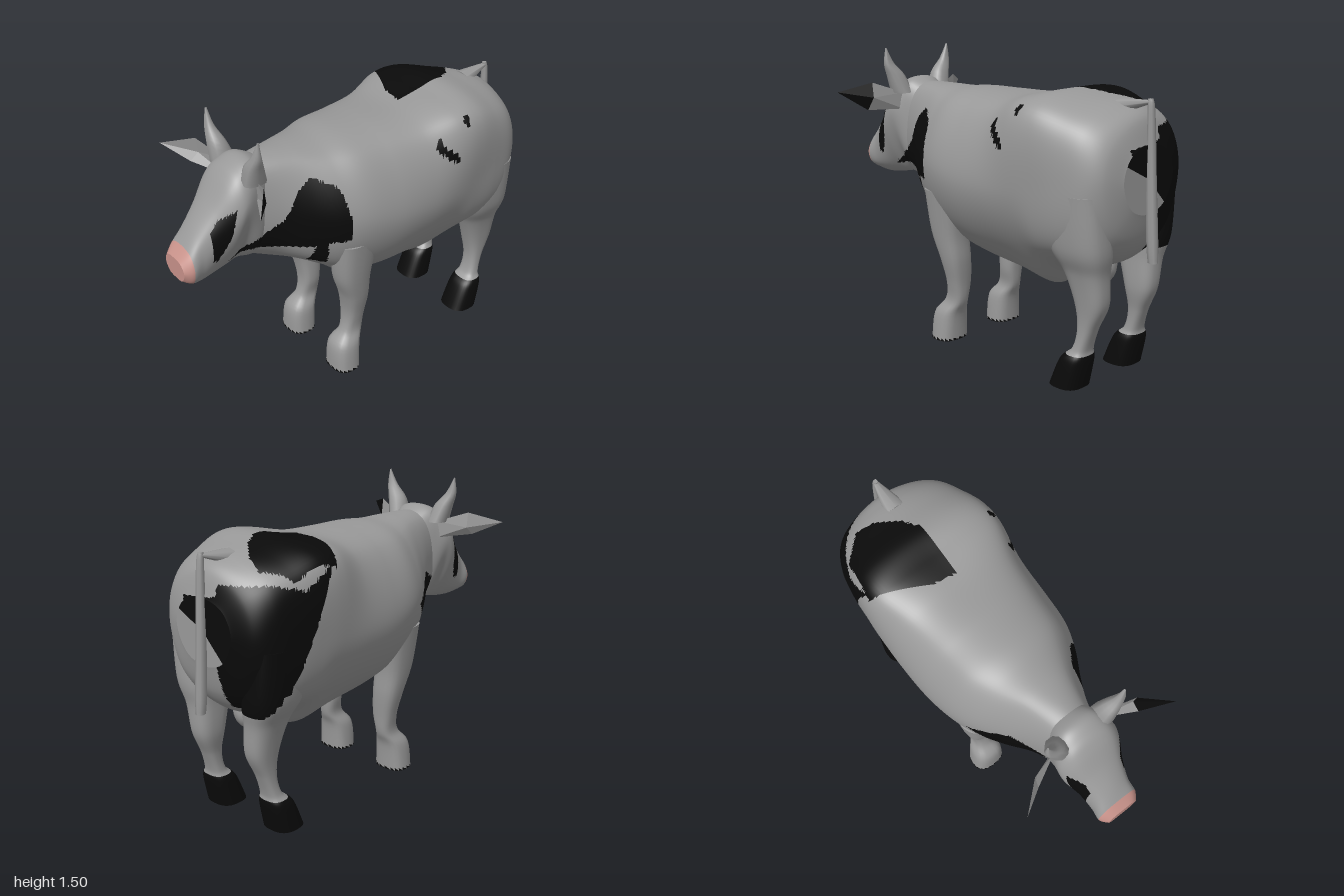
import * as THREE from 'three';

const paintOf = (name, color) => Object.assign(new THREE.MeshStandardMaterial({ color, side: THREE.DoubleSide }), { name });
const coat = paintOf('coat', 0x999999);
const patch = paintOf('black patch', 0x0a0a0a);
const materials = [coat, patch, paintOf('pink muzzle', 0xc8928a)];

// Patch outlines: side ones are (z, y), top ones (x, z), front and rear ones (x, y)
const neckPatch = [[.77, .84], [.6, .95], [.5, 1.02], [.43, 1.15], [.36, 1.21], [.25, 1.15], [.22, .98],
  [.22, .87], [.32, .87], [.3, .72], [.38, .74], [.37, .85], [.5, .86], [.62, .87]];
const eyePatch = [[.86, .9], [.86, 1.05], [.82, 1.11], [.74, 1.16], [.78, 1.0], [.83, .9]];
const flankMark = [[-.28, 1.2], [-.31, 1.25], [-.34, 1.2], [-.4, 1.15], [-.41, 1.11], [-.35, 1.14]];
const rumpPatch = [[-.49, 1.3], [-.55, 1.2], [-.62, 1.0], [-.72, .76], [-.86, .63], [-.97, .66],
  [-.97, 1.23], [-.8, 1.24], [-.66, 1.2]];
const rearPatch = [[-.22, 1.23], [-.05, 1.17], [.13, 1.15], [.12, 1.05], [-.03, 1.09], [-.12, .95]];
const backPatch = [[-.22, -.8], [-.13, -.77], [-.03, -.68], [.02, -.6], [.02, -.31], [-.1, -.33],
  [-.25, -.4], [-.38, -.47], [-.36, -.58], [-.34, -.7]];
const hipDot = [[.33, -.47], [.35, -.45], [.38, -.47], [.35, -.49]];
const chestPatch = [[-.34, .93], [-.22, 1.04], [-.13, .96], [-.15, .8], [-.2, .74], [-.26, .8]];

function inside(u, v, poly) {
  let hit = false;
  poly.forEach(([a, b], i) => {
    const [c, d] = poly[(i + poly.length - 1) % poly.length];
    if ((b > v) !== (d > v) && u < (c - a) * (v - b) / (d - b) + a) hit = !hit;
  });
  return hit;
}

// Each rule returns the material index for a point on that part
const bodyPaint = ({ x, y, z }) => Number(
  (x > 0 && (inside(z, y, neckPatch) || inside(z, y, flankMark))) ||
  (x < -.08 && inside(z, y, rumpPatch)) || (z < -.85 && inside(x, y, rearPatch)) ||
  (y > 1.2 && (inside(x, z, backPatch) || inside(x, z, hipDot))) || (z > .1 && inside(x, y, chestPatch)));
const headPaint = ({ x, y, z }) => (z > .957 && y > .81 ? 2
  : Number(inside(z, y, eyePatch) || (x > 0 && inside(z, y, neckPatch))));
const frontLegPaint = ({ y }) => Number(y < .008);
const rearLegPaint = ({ x, y, z }) => Number(y < .17 || (x < 0 && inside(z, y, rumpPatch)));
const plain = () => 0;

// Smoothly resample a table of section rows
function resample(rows, count) {
  const last = rows.length - 1;
  return Array.from({ length: count + 1 }, (_, k) => {
    const f = k / count * last;
    const i = Math.min(Math.floor(f), last - 1);
    const t = f - i;
    const [p, q, r, s] = [i - 1, i, i + 1, i + 2].map((n) => rows[Math.max(0, Math.min(last, n))]);
    return q.map((b, c) => {
      const cubic = 3 * (b - r[c]) + s[c] - p[c];
      const square = 2 * p[c] - 5 * b + 4 * r[c] - s[c];
      return b + .5 * t * (r[c] - p[c] + t * (square + t * cubic));
    });
  });
}

// Skin a list of rings, close both ends and sort the faces by colour
function loft(name, rings, paint) {
  const n = rings[0].length;
  const points = rings.flat();
  const faces = [];
  for (let a = 0; a < points.length - n; a++) {
    const b = a % n === n - 1 ? a + 1 - n : a + 1;
    faces.push([a, b, a + n], [b, b + n, a + n]);
  }
  for (const [ring, flip] of [[rings[0], true], [rings[rings.length - 1], false]]) {
    const start = points.length;
    const centre = new THREE.Vector3();
    ring.forEach((p) => centre.addScaledVector(p, 1 / n));
    points.push(...ring, centre);
    for (let j = 0; j < n; j++) {
      const a = start + j, b = start + (j + 1) % n;
      faces.push(flip ? [b, a, start + n] : [a, b, start + n]);
    }
  }
  const sorted = [[], [], []];
  for (const f of faces) {
    const mid = new THREE.Vector3();
    f.forEach((v) => mid.addScaledVector(points[v], 1 / 3));
    sorted[paint(mid)].push(...f);
  }
  const geometry = new THREE.BufferGeometry().setFromPoints(points);
  geometry.setIndex(sorted.flat());
  let offset = 0;
  sorted.forEach((list, m) => {
    if (list.length) geometry.addGroup(offset, list.length, m);
    offset += list.length;
  });
  geometry.computeVertexNormals();
  const mesh = new THREE.Mesh(geometry, materials);
  mesh.name = name;
  return mesh;
}

// Trunk rows: z, top y, edge y, edge x, mid y, mid x, low y, low x, bottom y
function trunk(name, rows, along, around, paint) {
  const rings = resample(rows, along).map(([z, top, ey, ex, my, mx, ly, lx, bottom]) => {
    const right = [[ex, ey], [mx, my], [lx, ly]];
    const left = right.map(([x, y]) => [-x, y]).reverse();
    const outline = [[0, top], ...right, [0, bottom], ...left].map(([x, y]) => new THREE.Vector3(x, y, z));
    const curve = new THREE.CatmullRomCurve3(outline, true);
    return Array.from({ length: around }, (_, j) => curve.getPoint(j / around));
  });
  return loft(name, rings, paint);
}

// Limb rows, from the top down: y, x from, x to, z from, z to
function limb(name, rows, side, along, around, paint) {
  const soft = (v) => Math.sign(v) * Math.pow(Math.abs(v), .75);
  const rings = resample(rows, along).map(([y, x0, x1, z0, z1]) => Array.from({ length: around }, (_, j) => {
    const a = j / around * Math.PI * 2;
    return new THREE.Vector3(side * (x0 + x1) / 2 + soft(Math.cos(a)) * (x1 - x0) / 2, y,
      (z0 + z1) / 2 + soft(Math.sin(a)) * (z1 - z0) / 2);
  }));
  return loft(name, rings, paint);
}

// Folded leaf: the half at the head and the pointed half
function ear(side) {
  const group = new THREE.Group();
  group.name = side > 0 ? 'leftEar' : 'rightEar';
  const low = side > 0 ? 1.17 : 1.2;
  const [rootTop, rootLow, top, fold, bottom, tip] = [[.13, 1.26, .62], [.13, 1.17, .62], [.29, 1.32, .68],
    [.29, 1.24, .67], [.3, low, .71], [.435, 1.27, .795]].map(([x, y, z]) => new THREE.Vector3(side * x, y, z));
  for (const [name, material, corners] of [
    ['earBase', coat, [rootTop, rootLow, fold, rootTop, fold, top, rootLow, bottom, fold]],
    ['earTip', side > 0 ? patch : coat, [top, fold, tip, fold, bottom, tip]],
  ]) {
    const geometry = new THREE.BufferGeometry().setFromPoints(corners);
    geometry.computeVertexNormals();
    const mesh = new THREE.Mesh(geometry, material);
    mesh.name = name;
    group.add(mesh);
  }
  return group;
}

export function createModel() {
  const cow = new THREE.Group();
  cow.name = 'cow';
  cow.add(trunk('body', [
    [.62, 1.31, 1.27, .08, 1.1, .12, .9, .1, .8], [.5, 1.32, 1.28, .1, 1.07, .17, .85, .14, .74],
    [.38, 1.32, 1.28, .13, 1.02, .24, .78, .2, .69], [.25, 1.32, 1.26, .19, .98, .32, .7, .24, .61],
    [.12, 1.33, 1.26, .24, .96, .37, .65, .26, .5], [-.05, 1.33, 1.26, .26, .93, .395, .62, .27, .46],
    [-.25, 1.33, 1.27, .29, .92, .4, .62, .27, .43], [-.43, 1.36, 1.31, .345, .93, .395, .64, .28, .4],
    [-.56, 1.385, 1.31, .35, .95, .385, .66, .3, .5], [-.7, 1.36, 1.27, .32, .98, .37, .68, .3, .55],
    [-.82, 1.33, 1.23, .28, 1.0, .34, .7, .27, .6], [-.9, 1.28, 1.18, .22, 1.02, .28, .77, .2, .7],
    [-.94, 1.16, 1.12, .13, 1.01, .18, .88, .12, .84],
  ], 160, 120, bodyPaint));
  cow.add(trunk('head', [
    [1.0, .93, .92, .06, .88, .085, .83, .06, .82], [.96, .98, .96, .08, .89, .113, .82, .09, .79],
    [.9, 1.06, 1.03, .08, .93, .11, .82, .085, .77], [.82, 1.16, 1.13, .09, 1.02, .13, .84, .08, .775],
    [.74, 1.27, 1.24, .11, 1.1, .165, .88, .09, .79], [.68, 1.32, 1.29, .11, 1.17, .168, .93, .1, .8],
    [.6, 1.34, 1.31, .1, 1.15, .14, .9, .11, .79], [.5, 1.29, 1.25, .07, 1.1, .1, .92, .08, .84],
  ], 80, 80, headPaint));

  for (const side of [1, -1]) {
    const label = side > 0 ? 'left' : 'right';
    cow.add(limb(label + 'FrontLeg', [
      [.82, .16, .34, .02, .26], [.6, .14, .31, .05, .24], [.45, .135, .285, .05, .19], [.32, .135, .255, .06, .17],
      [.22, .15, .245, .07, .19], [.14, .12, .28, .1, .25], [0, .11, .295, .11, .26],
    ], side, 36, 20, frontLegPaint));
    cow.add(limb(label + 'RearLeg', [
      [.95, .16, .36, -.88, -.5], [.7, .12, .33, -.89, -.58], [.57, .12, .28, -.87, -.65], [.42, .12, .25, -.86, -.7],
      [.3, .14, .24, -.81, -.72], [.2, .14, .25, -.78, -.7], [.14, .12, .28, -.78, -.64], [0, .11, .29, -.75, -.58],
    ], side, 72, 32, rearLegPaint));
    cow.add(limb(label + 'Horn', [
      [1.5, .213, .217, .645, .655], [1.42, .17, .225, .63, .67],
      [1.35, .11, .205, .6, .685], [1.26, .08, .18, .57, .69],
    ], side, 12, 10, plain));
    cow.add(ear(side));
  }

  // Tail root on the rump and the hanging tail
  const root = new THREE.Mesh(new THREE.CylinderGeometry(.012, .06, .17, 8), coat);
  root.name = 'tailRoot';
  root.position.set(0, 1.335, -.855);
  root.rotation.x = -Math.PI / 2 + .2;
  root.scale.z = .6;
  cow.add(root);
  cow.add(limb('tail', [
    [1.365, -.01, .01, -.945, -.92], [1.3, -.018, .018, -.955, -.925], [1.0, -.022, .022, -.975, -.93],
    [.72, -.025, .025, -.995, -.945], [.62, -.02, .02, -1, -.955],
  ], 1, 16, 8, plain));

  const udder = new THREE.Mesh(new THREE.SphereGeometry(.1, 16, 12), coat);
  udder.name = 'udder';
  udder.position.set(0, .54, -.65);
  cow.add(udder);
  return cow;
}
